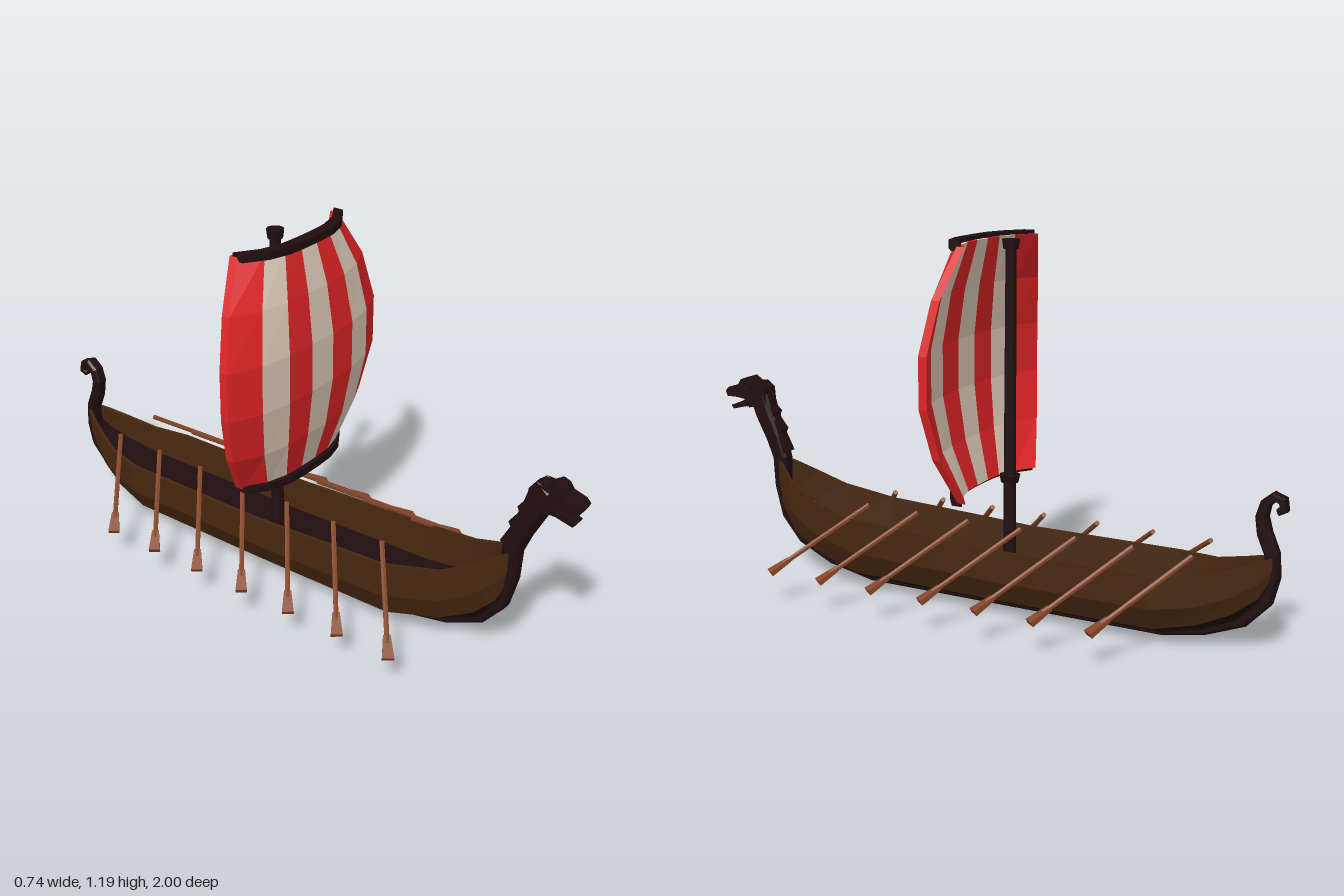
import * as THREE from 'three';

const mat = (name, color, side = THREE.FrontSide) =>
  Object.assign(new THREE.MeshStandardMaterial({ color, flatShading: true, side }), { name });

// Flat-shaded geometry from a list of quads, each [a, b, c, d] of [x, y, z]
function quads(list) {
  const pos = [];
  for (const [a, b, c, d] of list) pos.push(...a, ...b, ...c, ...a, ...c, ...d);
  const g = new THREE.BufferGeometry();
  g.setAttribute('position', new THREE.Float32BufferAttribute(pos, 3));
  g.computeVertexNormals();
  return g;
}

// Side profile of [z, y] points given a width across x
function plate(profile, width) {
  const shape = new THREE.Shape(profile.map(([z, y]) => new THREE.Vector2(z, y)));
  const g = new THREE.ExtrudeGeometry(shape, { depth: width, bevelEnabled: false });
  return g.rotateY(-Math.PI / 2).translate(width / 2, 0, 0);
}

// Chamfered bar along a centre-plane path of [z, y, halfThickness, halfWidth]
function sweep(path) {
  const rings = path.map(([z, y, t, w], i) => {
    const p = path[Math.max(i - 1, 0)], n = path[Math.min(i + 1, path.length - 1)];
    const l = Math.hypot(n[0] - p[0], n[1] - p[1]);
    const nz = -(n[1] - p[1]) / l, ny = (n[0] - p[0]) / l;
    return [[1, .6], [.6, 1], [-.6, 1], [-1, .6], [-1, -.6], [-.6, -1], [.6, -1], [1, -.6]]
      .map(([a, b]) => [a * w, y + ny * b * t, z + nz * b * t]);
  });
  const list = [];
  for (let i = 0; i < rings.length - 1; i++)
    for (let j = 0; j < 8; j++) {
      const k = (j + 1) % 8;
      list.push([rings[i][j], rings[i + 1][j], rings[i + 1][k], rings[i][k]]);
    }
  for (const r of [rings[0], rings[rings.length - 1]])
    list.push([r[0], r[1], r[2], r[3]], [r[0], r[3], r[4], r[7]], [r[7], r[4], r[5], r[6]]);
  return quads(list);
}

export function createModel() {
  const model = new THREE.Group();
  model.name = 'longship';
  const hullWood = mat('hull brown', 0x46270f, THREE.DoubleSide);
  const darkWood = mat('dark wood', 0x200e10, THREE.DoubleSide);
  const oarWood = mat('oar wood', 0x86472a);
  const red = mat('sail red', 0xdf2425, THREE.DoubleSide);
  const cream = mat('sail cream', 0xddcab6, THREE.DoubleSide);
  const add = (name, geo, material, parent = model) => {
    const m = new THREE.Mesh(geo, material);
    m.name = name;
    parent.add(m);
    return m;
  };

  // Hull stations: z, half width, rim height, bottom height
  const stations = [
    [.795, .02, .39, .28], [.76, .045, .37, .17], [.7, .083, .335, .11], [.6, .115, .29, .06],
    [.42, .145, .255, .012], [.1, .147, .24, .012], [-.1, .147, .23, .012], [-.63, .145, .23, .012],
    [-.76, .115, .235, .045], [-.86, .078, .265, .09], [-.93, .045, .29, .15], [-.97, .018, .305, .24],
  ];
  // Cross-section from keel, up the outside, over the rim and down to the deck centre
  const section = ([z, w, r, k]) => {
    const h = r - k;
    return [[Math.min(.02, w), k], [w * .75, k + h * .19], [w, k + h * .53], [w * .985, r],
      [w * .985 - Math.min(.012, w * .3), r], [w * .84, k + h * .5], [0, k + h * .5]]
      .map(([x, y]) => [x, y, z]);
  };
  const rings = stations.map(section);
  const strakes = (from, to) => {
    const list = [];
    for (let i = 0; i < rings.length - 1; i++)
      for (let j = from; j < to; j++) {
        const q = [rings[i][j], rings[i + 1][j], rings[i + 1][j + 1], rings[i][j + 1]];
        list.push(q, q.map(([x, y, z]) => [-x, y, z]).reverse());
      }
    return quads(list);
  };
  add('hullBottom', strakes(0, 1), darkWood);
  add('hullSides', strakes(1, 5), hullWood);
  add('deck', strakes(5, 6), darkWood);

  // Keel running up into the bow neck and the curled stern
  add('keelAndPosts', sweep([
    [.865, .6, .038, .034], [.845, .54, .036, .033], [.81, .46, .032, .028], [.787, .39, .029, .026],
    [.785, .29, .026, .025], [.76, .19, .026, .025], [.7, .115, .024, .025], [.58, .056, .022, .023],
    [.42, .018, .018, .021], [-.63, .018, .018, .021], [-.76, .045, .02, .022], [-.88, .095, .022, .022],
    [-.945, .165, .022, .022], [-.962, .24, .022, .022], [-.957, .31, .021, .022], [-.932, .37, .021, .022],
    [-.922, .42, .018, .022], [-.932, .46, .016, .022], [-.958, .484, .014, .022],
    [-.982, .475, .013, .022], [-.987, .448, .012, .022], [-.97, .44, .01, .02],
  ]), darkWood);

  // Carved beast head
  const head = new THREE.Group();
  head.name = 'figurehead';
  model.add(head);
  add('skull', plate([[.9, .56], [.92, .588], [.95, .592], [.992, .592], [1, .61], [.985, .625], [.945, .637],
    [.932, .657], [.91, .665], [.885, .648], [.86, .65], [.835, .63], [.83, .57]], .064), darkWood, head);
  add('jaw', plate([[.89, .56], [.92, .56], [.975, .546], [.985, .558], [.94, .576], [.9, .595]], .044), darkWood, head);
  add('mane', plate([[.85, .63], [.825, .6], [.832, .58], [.8, .55], [.808, .53], [.775, .49],
    [.783, .475], [.752, .415], [.79, .4], [.83, .5], [.87, .6]], .044), darkWood, head);
  for (const s of [1, -1]) {
    const ear = add('ear', new THREE.ConeGeometry(.012, .05, 4), darkWood, head);
    ear.position.set(s * .026, .642, .875);
    ear.rotation.x = -1;
  }

  // Mast with collar and cap
  const mast = new THREE.Group();
  mast.name = 'mast';
  mast.position.z = -.1;
  model.add(mast);
  for (const [name, top, bottom, y0, y1] of [['pole', .017, .021, .11, 1.17],
    ['collar', .034, .028, .415, .44], ['cap', .028, .024, 1.155, 1.185]])
    add(name, new THREE.CylinderGeometry(top, bottom, y1 - y0, 10), darkWood, mast).position.y = (y0 + y1) / 2;

  // Billowing sail: rows of [y, half width, z], seven striped slabs
  const rows = [[.4, .245, .025], [.55, .33, .063], [.71, .372, .084],
    [.87, .372, .084], [1.03, .33, .063], [1.18, .245, .025]];
  const bend = [-.07, -.024, -.004, 0, 0, -.004, -.024, -.07];
  const thick = .028;
  const sail = new THREE.Group();
  sail.name = 'sail';
  model.add(sail);
  const at = (r, c, dz = 0, dy = 0) =>
    [rows[r][1] * (c * 2 / 7 - 1), rows[r][0] + dy, rows[r][2] + bend[c] + dz];
  for (let c = 0; c < 7; c++) {
    const list = [];
    for (let r = 0; r < 5; r++) {
      list.push([at(r, c), at(r, c + 1), at(r + 1, c + 1), at(r + 1, c)]);
      list.push([at(r, c + 1, -thick), at(r, c, -thick), at(r + 1, c, -thick), at(r + 1, c + 1, -thick)]);
      if (c === 0) list.push([at(r, 0, -thick), at(r, 0), at(r + 1, 0), at(r + 1, 0, -thick)]);
      if (c === 6) list.push([at(r, 7), at(r, 7, -thick), at(r + 1, 7, -thick), at(r + 1, 7)]);
    }
    list.push([at(5, c), at(5, c + 1), at(5, c + 1, -thick), at(5, c, -thick)]);
    list.push([at(0, c, -thick), at(0, c + 1, -thick), at(0, c + 1), at(0, c)]);
    add('sailStripe', quads(list), c % 2 ? cream : red, sail);
  }

  // Bent spars along the top and bottom of the sail
  for (const [name, r, y0, y1] of [['upperSpar', 5, -.013, .012], ['lowerSpar', 0, -.01, .016]]) {
    const ring = c => [[.02, y0], [.02, y1], [-.016, y1], [-.016, y0]].map(([dz, dy]) => at(r, c, dz, dy));
    const list = [];
    for (let c = 0; c < 7; c++) {
      const a = ring(c), b = ring(c + 1);
      for (let j = 0; j < 4; j++) list.push([a[j], b[j], b[(j + 1) % 4], a[(j + 1) % 4]]);
    }
    list.push(ring(0), ring(7).reverse());
    add(name, quads(list), darkWood, sail);
  }

  // Seven oars on each side, sloping outward, down and forward
  const inner = new THREE.Vector3(.085, .293, 0), outer = new THREE.Vector3(.352, .105, .212);
  const length = inner.distanceTo(outer);
  const shaftGeo = new THREE.CylinderGeometry(.0085, .0085, length - .05, 6).translate(0, (length - .05) / 2, 0);
  const bladeGeo = new THREE.CylinderGeometry(.026, .016, .075, 4, 1).rotateY(Math.PI / 4);
  bladeGeo.scale(1, 1, .45).translate(0, length - .0375, 0);
  for (const s of [1, -1])
    for (let i = 0; i < 7; i++) {
      const oar = new THREE.Group();
      oar.name = 'oar';
      const dir = outer.clone().sub(inner).normalize();
      dir.x *= s;
      // Blade lies flat: its wide axis stays horizontal
      const wide = new THREE.Vector3(dir.z, 0, -dir.x).normalize();
      oar.quaternion.setFromRotationMatrix(
        new THREE.Matrix4().makeBasis(wide, dir, wide.clone().cross(dir)));
      oar.position.set(s * inner.x, inner.y, .38 - .187 * i);
      add('oarShaft', shaftGeo, oarWood, oar);
      add('oarBlade', bladeGeo, oarWood, oar);
      model.add(oar);
    }

  return model;
}
